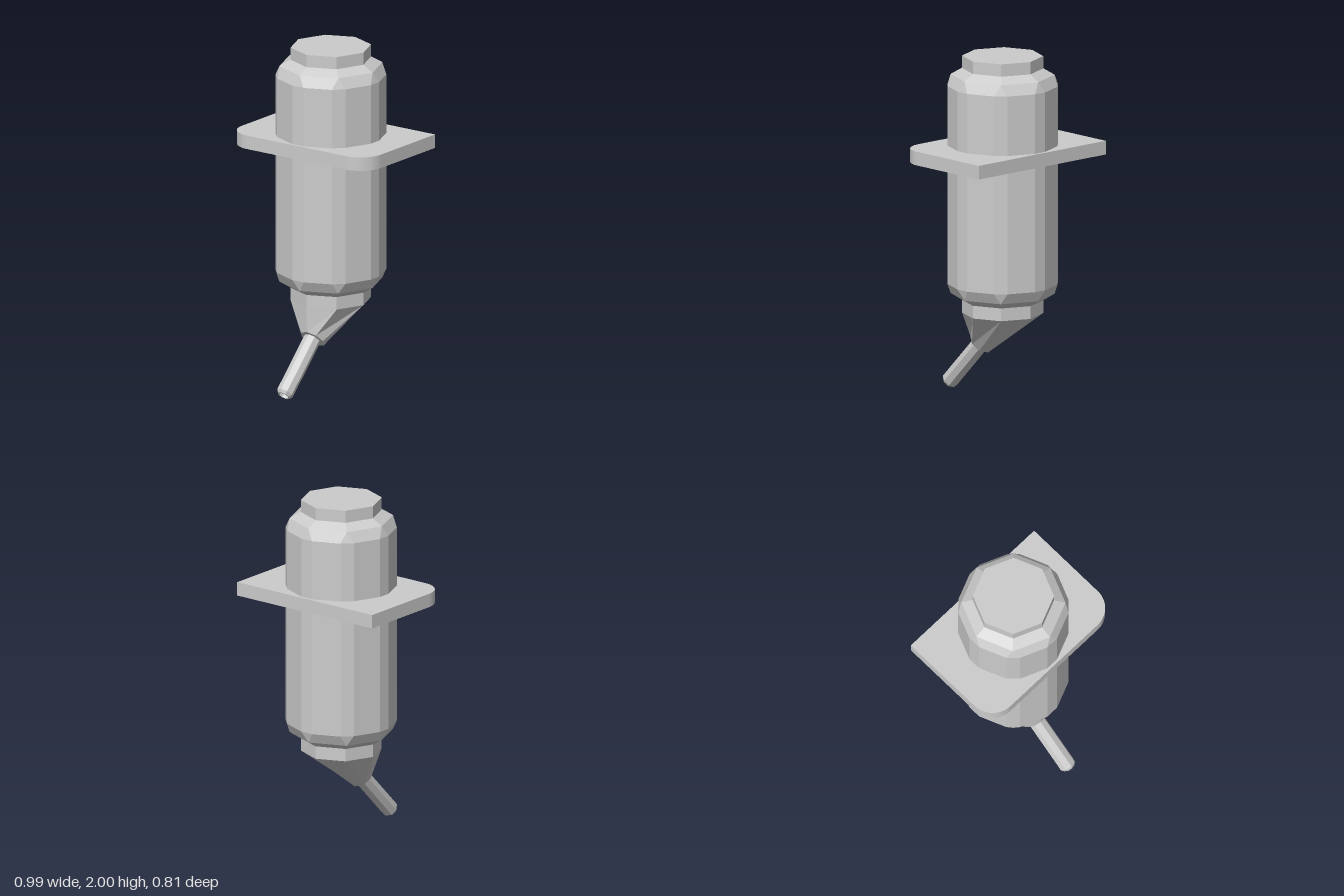
import * as THREE from 'three';

const material = new THREE.MeshStandardMaterial({ color: 0xcccccc, flatShading: true });
const AXIS_Z = -0.073; // centre of the upright barrel
const TILT = Math.PI * 0.75; // the needle points down and forward

// Octagonal ring; a spread above zero splits each corner in two
function ring(r, y, spread = 0) {
  const pts = [];
  for (let k = 0; k < 8; k++) {
    for (const s of [-spread, spread]) {
      const a = k * Math.PI / 4 + s;
      pts.push(new THREE.Vector3(r * Math.sin(a), y, r * Math.cos(a) + AXIS_Z));
    }
  }
  return pts;
}

// Skin closed rings from bottom to top, with both ends capped
function loft(rings) {
  const pos = [];
  const tri = (a, b, c) => {
    if (a.distanceTo(b) < 1e-6 || b.distanceTo(c) < 1e-6 || c.distanceTo(a) < 1e-6) return;
    for (const p of [a, b, c]) pos.push(p.x, p.y, p.z);
  };
  const n = rings[0].length;
  const middle = (pts) => pts.reduce((s, p) => s.add(p), new THREE.Vector3()).divideScalar(n);
  const first = rings[0], last = rings[rings.length - 1];
  const c0 = middle(first), c1 = middle(last);
  for (let i = 0; i < n; i++) {
    const j = (i + 1) % n;
    for (let k = 0; k < rings.length - 1; k++) {
      const lo = rings[k], hi = rings[k + 1];
      tri(lo[i], lo[j], hi[j]);
      tri(lo[i], hi[j], hi[i]);
    }
    tri(c0, first[j], first[i]);
    tri(c1, last[i], last[j]);
  }
  const geo = new THREE.BufferGeometry();
  geo.setAttribute('position', new THREE.Float32BufferAttribute(pos, 3));
  geo.computeVertexNormals();
  return geo;
}

export function createModel() {
  const group = new THREE.Group();
  const add = (name, geo) => {
    const mesh = new THREE.Mesh(geo, material);
    mesh.name = name;
    group.add(mesh);
    return mesh;
  };

  // Barrel: octagon with softened upright corners and bevelled ends
  const spread = 0.124;
  add('barrel', loft([
    ring(0.234, 0.575), ring(0.297, 0.613), ring(0.317, 0.675, spread),
    ring(0.317, 1.83, spread), ring(0.297, 1.892), ring(0.234, 1.928),
  ]));

  // Octagonal cap on top
  add('topCap', loft([ring(0.232, 1.92), ring(0.232, 2)]));

  // Flange plate: square at the back, rounded at the front
  const w = 0.495, back = 0.405, front = -0.257, r = 0.145;
  const shape = new THREE.Shape();
  shape.moveTo(-w, back);
  shape.lineTo(-w, front + r);
  shape.absarc(-w + r, front + r, r, Math.PI, Math.PI * 1.5, false);
  shape.absarc(w - r, front + r, r, Math.PI * 1.5, Math.PI * 2, false);
  shape.lineTo(w, back);
  shape.closePath();
  const plate = new THREE.ExtrudeGeometry(shape, { depth: 0.08, bevelEnabled: false, curveSegments: 10 });
  plate.rotateX(-Math.PI / 2);
  plate.translate(0, 1.403, 0);
  add('flangePlate', plate);

  // Nozzle: octagonal collar tapering to a small ring square to the needle
  const tip = new THREE.Vector3(0, 0.026, 0.377);
  const along = new THREE.Vector3(0, Math.cos(TILT), Math.sin(TILT));
  const end = tip.clone().addScaledVector(along, -0.388);
  const endRing = ring(0.075, 0).map((p) => {
    const d = (p.z - AXIS_Z) * Math.SQRT1_2;
    return new THREE.Vector3(p.x, end.y + d, end.z + d);
  });
  add('nozzle', loft([endRing, ring(0.232, 0.5), ring(0.232, 0.58)]));

  // Needle: eight-sided tube with a bevelled, hollow tip
  const profile = [
    [0.05, -0.42], [0.05, -0.018], [0.038, 0], [0.03, 0], [0.03, -0.06], [0, -0.06],
  ].map(([x, y]) => new THREE.Vector2(x, y));
  const needle = add('needle', new THREE.LatheGeometry(profile, 8));
  needle.rotation.x = TILT;
  needle.position.copy(tip);

  return group;
}
